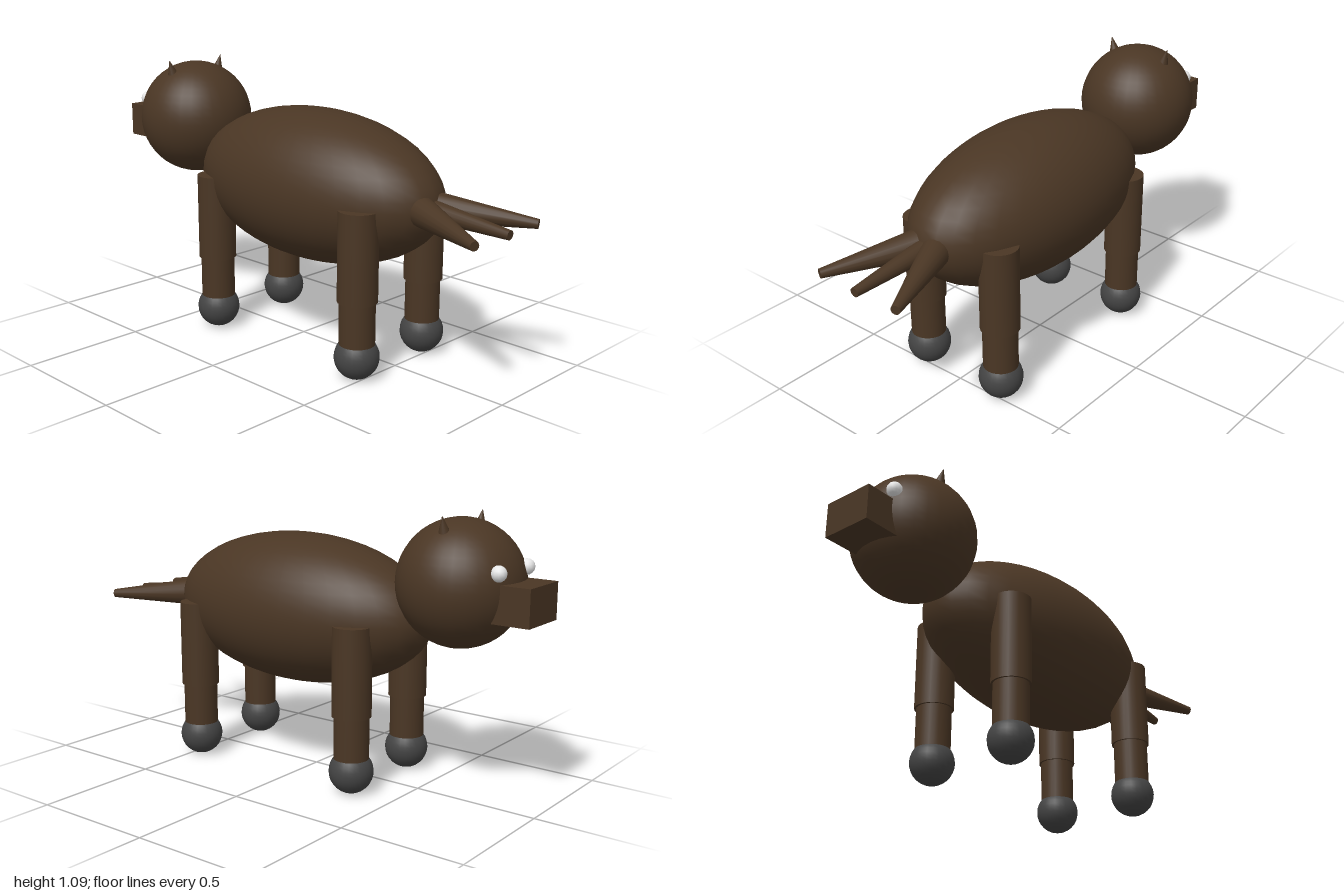
import * as THREE from 'three';

const coat = new THREE.MeshStandardMaterial({ name: 'brown coat', color: 0x4a3624 });
const hoofGrey = new THREE.MeshStandardMaterial({ name: 'dark grey hoof', color: 0x444444 });
const eyeWhite = new THREE.MeshStandardMaterial({ name: 'eye white', color: 0xffffff });

export function createModel() {
  const model = new THREE.Group();
  model.name = 'animal';

  function add(parent, name, geometry, material, x, y, z) {
    const mesh = new THREE.Mesh(geometry, material);
    mesh.name = name;
    mesh.position.set(x, y, z);
    parent.add(mesh);
    return mesh;
  }

  // Tapered cylinder running from one point to another
  function taper(parent, name, from, to, r0, r1, sides) {
    const a = new THREE.Vector3(...from), b = new THREE.Vector3(...to);
    const axis = b.clone().sub(a);
    const mid = a.clone().add(b).multiplyScalar(0.5);
    const geometry = new THREE.CylinderGeometry(r1, r0, axis.length(), sides);
    const mesh = add(parent, name, geometry, coat, mid.x, mid.y, mid.z);
    mesh.quaternion.setFromUnitVectors(new THREE.Vector3(0, 1, 0), axis.normalize());
  }

  // Body
  const body = add(model, 'body', new THREE.SphereGeometry(0.303, 32, 24), coat, 0, 0.657, 0.075);
  body.scale.z = 1.993;

  // Head with snout, eyes and ears, facing -z
  const head = new THREE.Group();
  head.name = 'headGroup';
  model.add(head);
  add(head, 'head', new THREE.SphereGeometry(0.241, 32, 24), coat, 0, 0.833, -0.667);
  add(head, 'snout', new THREE.BoxGeometry(0.208, 0.14, 0.22), coat, 0, 0.79, -0.89);
  for (const [side, s] of [['left', 1], ['right', -1]]) {
    add(head, side + 'Eye', new THREE.SphereGeometry(0.03, 12, 8), eyeWhite, s * 0.104, 0.9, -0.876);
    taper(head, side + 'Ear', [s * 0.123, 1.02, -0.667], [s * 0.143, 1.09, -0.667], 0.025, 0, 16);
  }

  // Legs: thigh, shin and ball hoof
  for (const [end, z] of [['tailEnd', 0.472], ['headEnd', -0.318]]) {
    for (const [side, x] of [['Left', 0.192], ['Right', -0.192]]) {
      const leg = new THREE.Group();
      leg.name = end + side + 'Leg';
      leg.position.set(x, 0, z);
      model.add(leg);
      add(leg, 'thigh', new THREE.CylinderGeometry(0.077, 0.077, 0.35, 24), coat, 0, 0.483, 0);
      add(leg, 'shin', new THREE.CylinderGeometry(0.069, 0.069, 0.26, 24), coat, 0, 0.23, 0);
      add(leg, 'hoof', new THREE.SphereGeometry(0.087, 24, 16), hoofGrey, 0, 0.088, 0);
    }
  }

  // Tail fanning out in three strands
  const tail = new THREE.Group();
  tail.name = 'tail';
  model.add(tail);
  taper(tail, 'middleStrand', [0, 0.658, 0.62], [0, 0.633, 0.998], 0.043, 0.018, 16);
  for (const s of [1, -1]) {
    taper(tail, s > 0 ? 'leftStrand' : 'rightStrand',
      [s * 0.035, 0.659, 0.62], [s * 0.19, 0.633, 0.988], 0.06, 0.018, 16);
  }

  return model;
}
